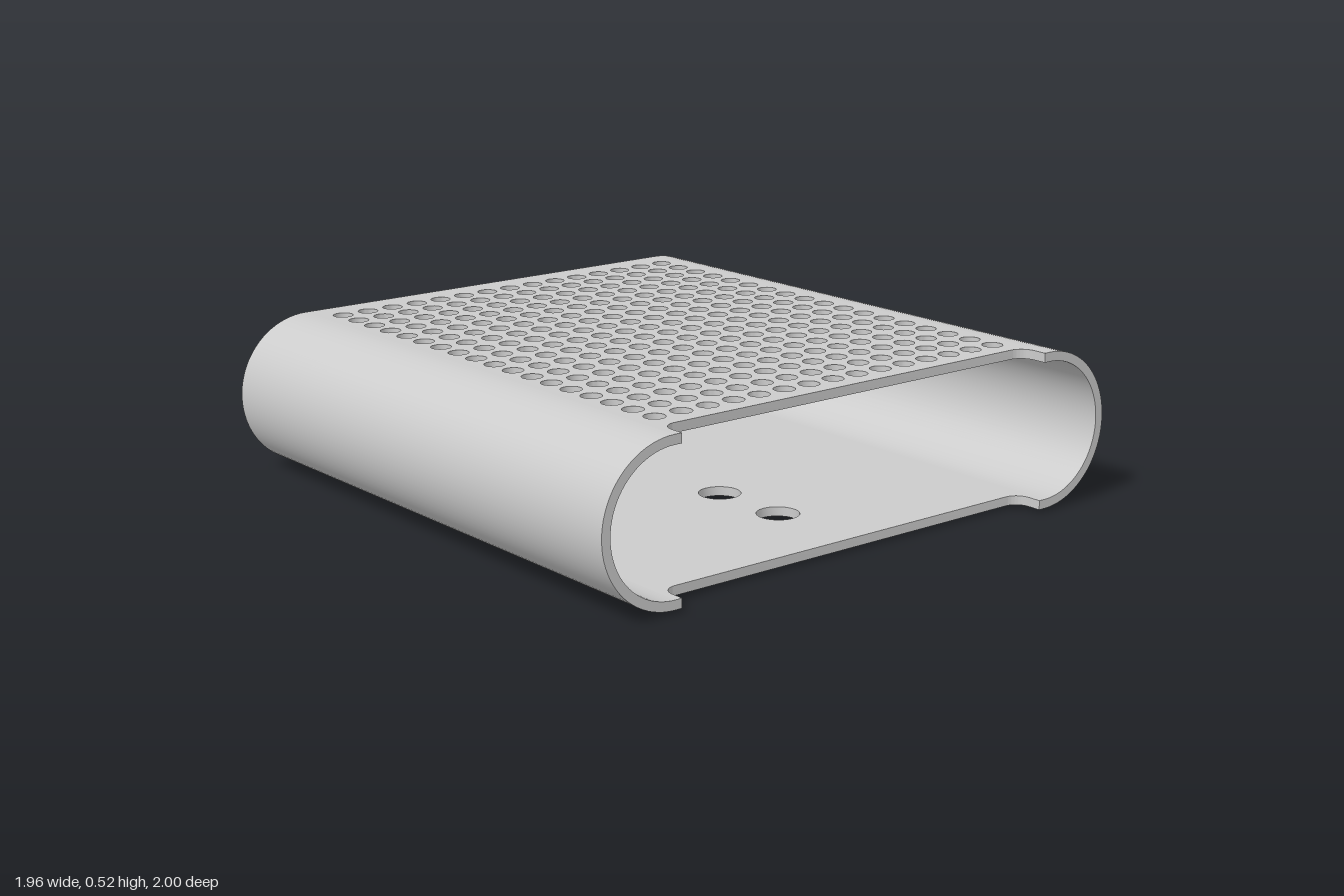
import * as THREE from 'three';
import { toCreasedNormals } from 'three/addons/utils/BufferGeometryUtils.js';

const L = 0.98;      // half length along x
const R = 0.253;     // outer radius of the rounded sides
const T = 0.03;      // wall thickness
const C = 0.747;     // z of the rounded side axis
const PLATE = 0.03;  // end wall thickness

const material = new THREE.MeshStandardMaterial({ color: 0xcccccc });

function addMesh(parent, name, geometry) {
  const mesh = new THREE.Mesh(toCreasedNormals(geometry, 0.6), material);
  mesh.name = name;
  parent.add(mesh);
  return mesh;
}

function circle(x, y, r) {
  return new THREE.Path().absarc(x, y, r, 0, Math.PI * 2, false);
}

// Stadium outline: straight part of half width w with round ends of radius r
function stadium(PathType, x, y, w, r) {
  return new PathType()
    .absarc(x + w, y, r, -Math.PI / 2, Math.PI / 2, false)
    .absarc(x - w, y, r, Math.PI / 2, Math.PI * 1.5, false);
}

// Flat wall with a filleted notch at the open end
function panelGeometry(holes) {
  const e = 0.885, n = 0.722, f = 0.05;
  const s = new THREE.Shape();
  s.moveTo(-L, -C);
  s.lineTo(L, -C);
  s.lineTo(L, -n);
  s.absarc(e + f, -n + f, f, -Math.PI / 2, -Math.PI, true);
  s.absarc(e + f, n - f, f, Math.PI, Math.PI / 2, true);
  s.lineTo(L, n);
  s.lineTo(L, C);
  s.lineTo(-L, C);
  s.closePath();
  s.holes = holes;
  return new THREE.ExtrudeGeometry(s, { depth: T, bevelEnabled: false, curveSegments: 12 })
    .rotateX(-Math.PI / 2);
}

// Half-round side wall, bulging towards +z
function sideGeometry() {
  const profile = [[R - T, -L], [R, -L], [R, L], [R - T, L], [R - T, -L]]
    .map(([r, h]) => new THREE.Vector2(r, h));
  return new THREE.LatheGeometry(profile, 40, -Math.PI / 2, Math.PI).rotateZ(Math.PI / 2);
}

// Layer of the end wall, spanning x0 to x0 + depth
function endLayer(x0, depth, extraHoles) {
  const s = stadium(THREE.Shape, 0, 0, C, R - T);
  s.holes = [
    circle(-0.75, 0, 0.04), circle(0.75, 0, 0.04),       // screw holes
    circle(0.125, 0, 0.051),                             // round socket
    stadium(THREE.Path, -0.108, 0, 0.06, 0.031),         // slot
    ...extraHoles,
  ];
  return new THREE.ExtrudeGeometry(s, { depth, bevelEnabled: false, curveSegments: 20 })
    .rotateY(Math.PI / 2).translate(x0, 0, 0);
}

export function createModel() {
  const model = new THREE.Group();
  model.name = 'enclosure';
  const shell = new THREE.Group();
  shell.name = 'shell';
  model.add(shell);

  // Perforated top: 18 x 15 grid of vent holes
  const vents = [];
  for (let i = 0; i < 18; i++) {
    for (let j = 0; j < 15; j++) {
      vents.push(circle(-0.863 + i * 0.0977, -0.673 + j * 0.0965, 0.033));
    }
  }
  addMesh(shell, 'perforatedTop', panelGeometry(vents)).position.y = R - T;

  // Bottom with two larger holes
  const bottomHoles = [0.28, 0.56].map((x) => circle(x, 0, 0.068));
  addMesh(shell, 'bottom', panelGeometry(bottomHoles)).position.y = -R;

  // Rounded sides
  for (const side of [1, -1]) {
    const mesh = addMesh(shell, side > 0 ? 'frontSide' : 'backSide', sideGeometry());
    mesh.position.z = side * C;
    if (side < 0) mesh.rotation.x = Math.PI;
  }

  // End wall, with a small blind recess on the inside
  addMesh(shell, 'endWallOuter', endLayer(-L, PLATE / 2, []));
  addMesh(shell, 'endWallInner', endLayer(-L + PLATE / 2, PLATE / 2, [circle(0, 0.1, 0.02)]));

  // The shell leans up very slightly towards the open end
  shell.rotation.z = 0.005;
  shell.position.y = R + 0.005;
  return model;
}
